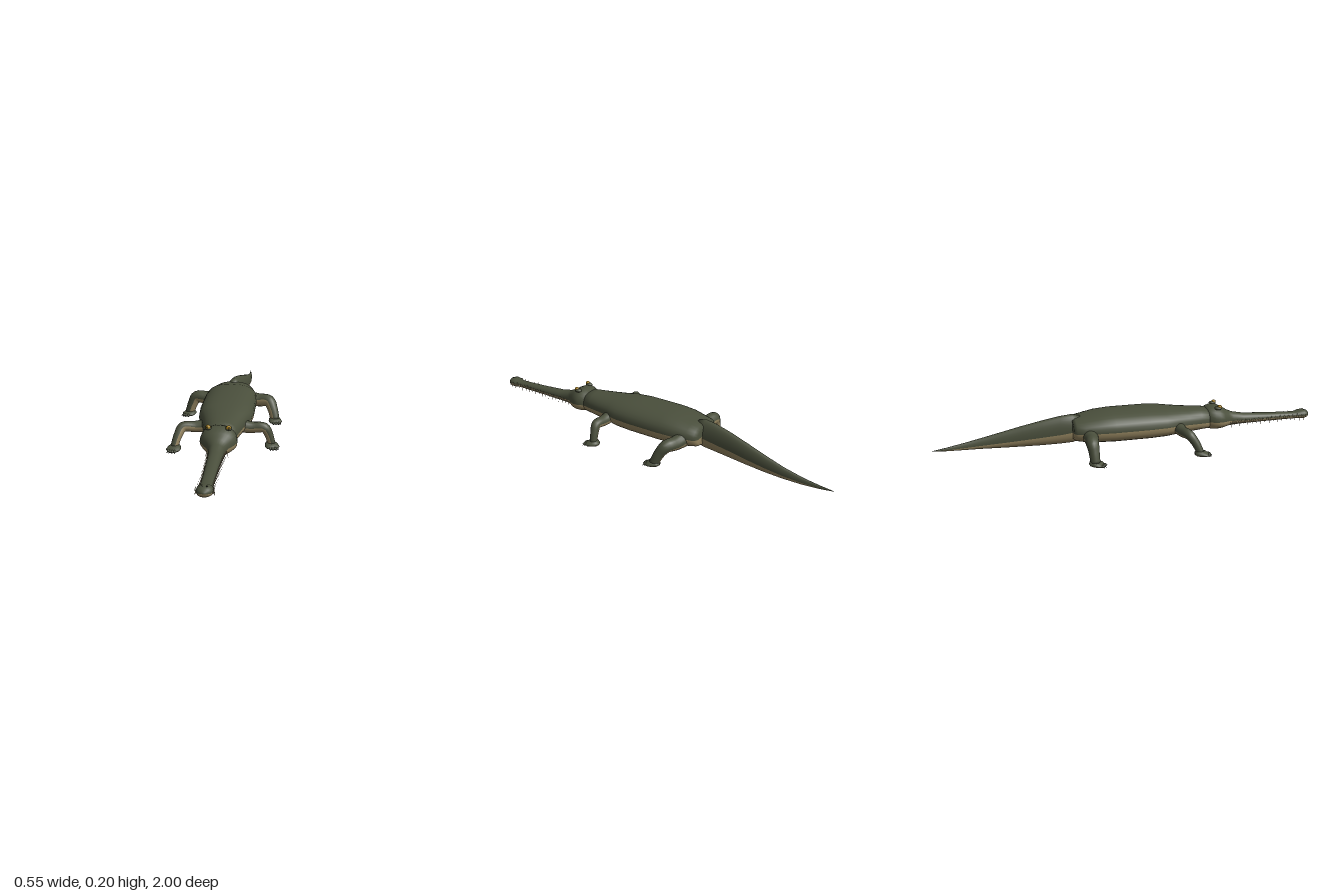
import * as THREE from 'three';
import { mergeGeometries } from 'three/addons/utils/BufferGeometryUtils.js';

const mat = (name, color) => {
  const m = new THREE.MeshStandardMaterial({ color });
  m.name = name;
  return m;
};
const V = (x, y, z) => new THREE.Vector3(x, y, z);

// Skin through oval rings { c, right, up, w, top, bot }; upper half is group 0, lower half group 1
function loft(rings, n = 28, power = 1) {
  const pos = [], halves = [[], []];
  const bend = (v) => Math.sign(v) * Math.abs(v) ** power;
  for (const r of rings) {
    for (let j = 0; j < n; j++) {
      const a = (j / n) * Math.PI * 2;
      const s = bend(Math.sin(a));
      const p = r.c.clone().addScaledVector(r.right, r.w * bend(Math.cos(a)))
        .addScaledVector(r.up, s * (s > 0 ? r.top : r.bot));
      pos.push(p.x, p.y, p.z);
    }
  }
  const last = rings.length - 1, capA = rings.length * n, capB = capA + 1;
  for (const r of [rings[0], rings[last]]) pos.push(r.c.x, r.c.y, r.c.z);
  for (let j = 0; j < n; j++) {
    const k = (j + 1) % n, idx = halves[j < n / 2 ? 0 : 1];
    for (let i = 0; i < last; i++) {
      const a = i * n + j, b = i * n + k;
      idx.push(a, b, b + n, a, b + n, a + n);
    }
    idx.push(capA, k, j, capB, last * n + j, last * n + k);
  }
  const g = new THREE.BufferGeometry();
  g.setAttribute('position', new THREE.Float32BufferAttribute(pos, 3));
  g.setIndex([...halves[0], ...halves[1]]);
  g.addGroup(0, halves[0].length, 0);
  g.addGroup(halves[0].length, halves[1].length, 1);
  g.computeVertexNormals();
  return g;
}

// Stations along z: [z, x, half width, colour line y, top y, bottom y]
const alongZ = (stations, power) => loft(stations.map(([z, x, w, mid, top, bottom]) => ({
  c: V(x, mid, z), right: V(1, 0, 0), up: V(0, 1, 0), w, top: top - mid, bot: mid - bottom,
})), 28, power);

// Limb along a curve, with its upper half turned up and outwards
function limb(points, radii, side) {
  const curve = new THREE.CatmullRomCurve3(points), rings = [], steps = 18;
  for (let i = 0; i <= steps; i++) {
    const t = i / steps, f = t * (radii.length - 1), k = Math.min(Math.floor(f), radii.length - 2);
    const r = THREE.MathUtils.lerp(radii[k], radii[k + 1], f - k);
    const T = curve.getTangent(t), up = V(side, 1, 0);
    up.addScaledVector(T, -up.dot(T)).normalize();
    rings.push({ c: curve.getPoint(t), right: up.clone().cross(T), up, w: r, top: r, bot: r });
  }
  return loft(rings, 16);
}

export function createModel() {
  const model = new THREE.Group();
  const hide = mat('olive hide', 0x4a4f3c), belly = mat('tan belly', 0x958560);
  const tooth = mat('bone teeth', 0xa89a78), gold = mat('gold eye', 0xa8811c), dark = mat('dark pupil', 0x17160f);
  const skin = [hide, belly];
  const add = (name, geometry, material, parent = model) => {
    const m = new THREE.Mesh(geometry, material);
    m.name = name;
    parent.add(m);
    return m;
  };

  // Trunk
  add('body', alongZ([
    [-0.305, 0, 0.085, 0.12, 0.172, 0.075], [-0.29, 0, 0.105, 0.12, 0.18, 0.065],
    [-0.25, 0, 0.117, 0.122, 0.185, 0.058], [-0.18, 0, 0.132, 0.125, 0.198, 0.053],
    [-0.1, 0, 0.137, 0.125, 0.204, 0.05], [0.08, 0, 0.137, 0.125, 0.204, 0.05],
    [0.17, 0, 0.131, 0.125, 0.197, 0.052], [0.23, 0, 0.112, 0.122, 0.19, 0.055],
    [0.3, 0, 0.096, 0.118, 0.183, 0.06], [0.37, 0, 0.08, 0.113, 0.178, 0.064],
    [0.44, 0, 0.064, 0.11, 0.172, 0.068],
  ], 0.85), skin);

  // Tail, tall at the hips and curving to a point
  add('tail', alongZ([
    [-1, 0.042, 0.001, 0.045, 0.046, 0.044], [-0.93, 0.046, 0.006, 0.044, 0.056, 0.038],
    [-0.85, 0.049, 0.011, 0.048, 0.07, 0.035], [-0.75, 0.047, 0.017, 0.056, 0.092, 0.034],
    [-0.65, 0.038, 0.023, 0.066, 0.118, 0.034], [-0.55, 0.026, 0.029, 0.078, 0.145, 0.036],
    [-0.45, 0.013, 0.033, 0.09, 0.17, 0.039], [-0.36, 0.004, 0.036, 0.1, 0.189, 0.043],
    [-0.3, 0, 0.04, 0.11, 0.196, 0.047], [-0.26, 0, 0.038, 0.115, 0.185, 0.06],
  ]), skin);

  // Head running into the long thin snout with its bulbous tip
  const head = [
    [0.4, 0, 0.06, 0.11, 0.172, 0.07], [0.42, 0, 0.074, 0.112, 0.18, 0.063],
    [0.445, 0, 0.086, 0.113, 0.186, 0.06], [0.47, 0, 0.087, 0.112, 0.183, 0.06],
    [0.5, 0, 0.073, 0.108, 0.168, 0.062], [0.53, 0, 0.049, 0.102, 0.149, 0.065],
    [0.56, 0, 0.037, 0.097, 0.136, 0.067], [0.62, 0, 0.033, 0.092, 0.124, 0.069],
    [0.75, 0, 0.029, 0.09, 0.114, 0.07], [0.88, 0, 0.026, 0.089, 0.107, 0.07],
    [0.925, 0, 0.028, 0.089, 0.107, 0.07], [0.945, 0, 0.035, 0.089, 0.113, 0.069],
    [0.97, 0, 0.036, 0.089, 0.117, 0.069], [0.99, 0, 0.027, 0.09, 0.11, 0.074],
    [1, 0, 0.012, 0.092, 0.1, 0.083],
  ];
  add('headAndSnout', alongZ(head, 0.9), skin);
  const widthAt = (z) => {
    const i = head.findIndex((s) => s[0] >= z), a = head[i - 1], b = head[i];
    return THREE.MathUtils.lerp(a[2], b[2], (z - a[0]) / (b[0] - a[0]));
  };

  // Interlocking teeth: alternating down and up along both jaws
  const teeth = [];
  for (const side of [-1, 1]) {
    for (let i = 0; i < 36; i++) {
      const z = 0.54 + i * 0.0124, down = i % 2 === 0;
      const g = new THREE.ConeGeometry(0.0032, down ? 0.03 : 0.022, 6);
      if (down) g.rotateX(Math.PI);
      g.rotateZ(side * (down ? 0.3 : -0.3));
      teeth.push(g.translate(side * (widthAt(z) + 0.003), down ? 0.079 : 0.095, z));
    }
  }
  add('teeth', mergeGeometries(teeth), tooth);

  for (const side of [-1, 1]) {
    // Eyes set on raised brows, with slit pupils
    const eye = new THREE.Group();
    eye.name = side > 0 ? 'leftEye' : 'rightEye';
    eye.position.set(side * 0.047, 0.184, 0.472);
    add('brow', new THREE.SphereGeometry(0.016, 16, 10).scale(1, 0.6, 1.2).translate(0, -0.005, -0.008), hide, eye);
    add('eyeball', new THREE.SphereGeometry(0.0115, 18, 12), gold, eye);
    add('pupil', new THREE.SphereGeometry(0.006, 10, 8).scale(0.35, 1, 0.4).translate(side * 0.003, 0.002, 0.0105), dark, eye);
    model.add(eye);
    // Nostrils
    add('nostril', new THREE.SphereGeometry(0.004, 10, 8).scale(1, 0.5, 1.4), dark)
      .position.set(side * 0.01, 0.115, 0.972);
  }

  // Legs: [name, side, hip z, knee z, foot x, foot z, thickness, foot yaw]
  const legs = [
    ['frontLeftLeg', 1, 0.225, 0.23, 0.235, 0.232, 0.025, 0.35],
    ['frontRightLeg', -1, 0.235, 0.26, 0.235, 0.318, 0.025, -0.2],
    ['backLeftLeg', 1, -0.225, -0.195, 0.235, -0.14, 0.032, 0.3],
    ['backRightLeg', -1, -0.225, -0.235, 0.238, -0.222, 0.032, -0.5],
  ];
  for (const [name, s, hipZ, kneeZ, footX, footZ, r, yaw] of legs) {
    const leg = new THREE.Group();
    leg.name = name;
    const ankleZ = footZ - 0.008;
    add('limb', limb([
      V(s * 0.075, 0.108, hipZ), V(s * 0.14, 0.103, (hipZ * 2 + kneeZ) / 3), V(s * 0.198, 0.104, kneeZ),
      V(s * 0.219, 0.07, (kneeZ + ankleZ) / 2), V(s * footX, 0.016, ankleZ),
    ], [r * 1.35, r * 1.1, r, r * 0.85, r * 0.75], s), skin, leg);
    // Flat foot with toes and claws
    const foot = new THREE.Group();
    foot.name = 'foot';
    foot.position.set(s * footX, 0, footZ);
    foot.rotation.y = yaw;
    add('pad', alongZ([
      [-0.038, 0, 0.012, 0.014, 0.022, 0.008], [-0.027, 0, 0.027, 0.013, 0.032, 0.003],
      [-0.005, 0, 0.034, 0.012, 0.033, 0.001], [0.018, 0, 0.034, 0.011, 0.024, 0.001],
      [0.032, 0, 0.022, 0.009, 0.015, 0.003],
    ]), skin, foot);
    for (let i = -1.5; i <= 1.5; i++) {
      const toe = new THREE.Group();
      toe.name = 'toe';
      toe.rotation.y = i * 0.3;
      add('toePad', new THREE.SphereGeometry(0.008, 10, 8).scale(1, 0.9, 1.6).translate(0, 0.009, 0.033), hide, toe);
      add('claw', new THREE.ConeGeometry(0.0035, 0.014, 6).rotateX(Math.PI / 2 + 0.3).translate(0, 0.006, 0.046), dark, toe);
      foot.add(toe);
    }
    leg.add(foot);
    model.add(leg);
  }
  return model;
}
